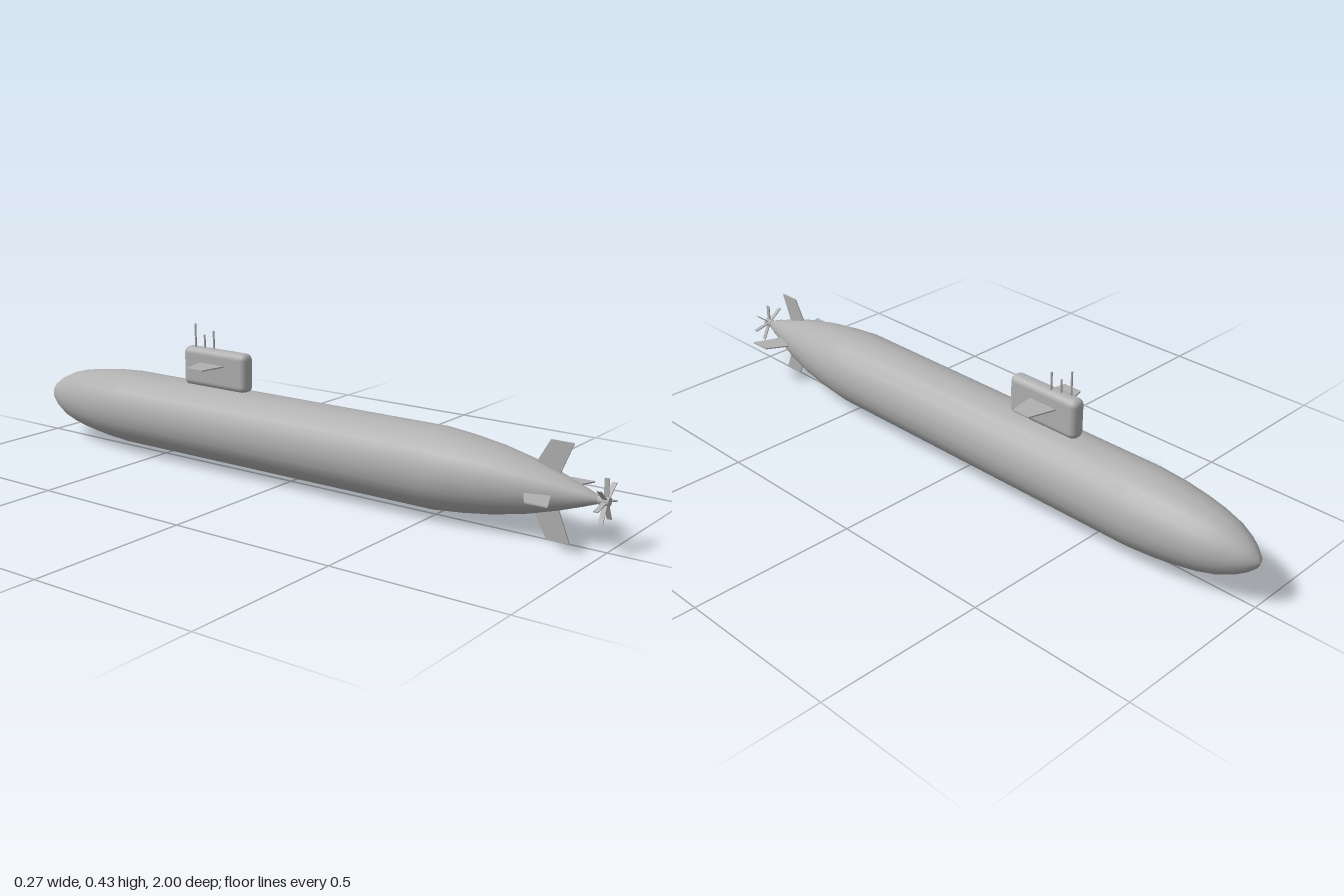
import * as THREE from 'three';
import { RoundedBoxGeometry } from 'three/addons/geometries/RoundedBoxGeometry.js';

const AXIS_Y = 0.135;

export function createModel() {
  const model = new THREE.Group();
  const hullGrey = new THREE.MeshStandardMaterial({ color: 0xb0b0b0 });
  hullGrey.name = 'hull grey';

  const add = (name, geometry, x = 0, y = 0, z = 0, parent = model) => {
    const mesh = new THREE.Mesh(geometry, hullGrey);
    mesh.name = name;
    mesh.position.set(x, y, z);
    parent.add(mesh);
    return mesh;
  };

  // Thin plate: outline is [outward, z] pairs, lying flat and pointing to +x
  const plate = (outline, thickness) => {
    const shape = new THREE.Shape(outline.map(([u, z]) => new THREE.Vector2(u, z)));
    const g = new THREE.ExtrudeGeometry(shape, { depth: thickness, bevelEnabled: false });
    g.translate(0, 0, -thickness / 2);
    g.rotateX(Math.PI / 2);
    return g;
  };

  // Hull: [z, radius] from bow to stern
  const profile = [
    [-1, 0], [-0.992, 0.018], [-0.972, 0.036], [-0.945, 0.054], [-0.9, 0.075],
    [-0.85, 0.089], [-0.79, 0.1], [-0.72, 0.109], [-0.63, 0.115], [0.51, 0.115],
    [0.6, 0.106], [0.69, 0.093], [0.79, 0.071], [0.87, 0.047], [0.93, 0.026],
    [0.972, 0.01], [0.975, 0],
  ];
  const hull = new THREE.LatheGeometry(profile.map(([z, r]) => new THREE.Vector2(r, z)), 20);
  hull.rotateX(Math.PI / 2);
  add('hull', hull, 0, AXIS_Y, 0);

  // Sail with its pair of diving planes
  add('sail', new RoundedBoxGeometry(0.048, 0.12, 0.245, 4, 0.02), 0, 0.303, -0.278);
  const sailPlane = plate([[0.01, -0.336], [0.106, -0.31], [0.106, -0.25], [0.01, -0.235]], 0.004);
  for (const [name, turn] of [['leftSailPlane', 1], ['rightSailPlane', -1]]) {
    const holder = add(name, sailPlane, 0, 0.318, 0);
    if (turn < 0) holder.rotation.z = Math.PI;
  }

  // Masts: x, z, top height
  const masts = [[-0.007, -0.36, 0.434], [0.007, -0.3, 0.416], [0, -0.33, 0.402]];
  for (const [x, z, top] of masts) {
    const h = top - 0.35;
    add('mast', new THREE.CylinderGeometry(0.003, 0.003, h, 8), x, 0.35 + h / 2, z);
  }

  // Four stern fins in a cross
  const fin = plate([[0.025, 0.77], [0.065, 0.793], [0.134, 0.832], [0.134, 0.897], [0.025, 0.853]], 0.004);
  ['leftSternPlane', 'upperRudder', 'rightSternPlane', 'lowerRudder'].forEach((name, i) => {
    add(name, fin, 0, AXIS_Y, 0).rotation.z = (i * Math.PI) / 2;
  });

  // Propeller: hub and seven blades
  const propeller = new THREE.Group();
  propeller.name = 'propeller';
  propeller.position.set(0, AXIS_Y, 0.985);
  model.add(propeller);
  const hub = new THREE.CylinderGeometry(0.012, 0.012, 0.03, 10);
  hub.rotateX(Math.PI / 2);
  add('propellerHub', hub, 0, 0, 0, propeller);
  const blade = new THREE.BoxGeometry(0.003, 0.052, 0.013);
  blade.translate(0, 0.034, 0.004);
  for (let i = 0; i < 7; i++) {
    add('propellerBlade', blade, 0, 0, 0, propeller).rotation.z = (i * 2 * Math.PI) / 7;
  }

  return model;
}
